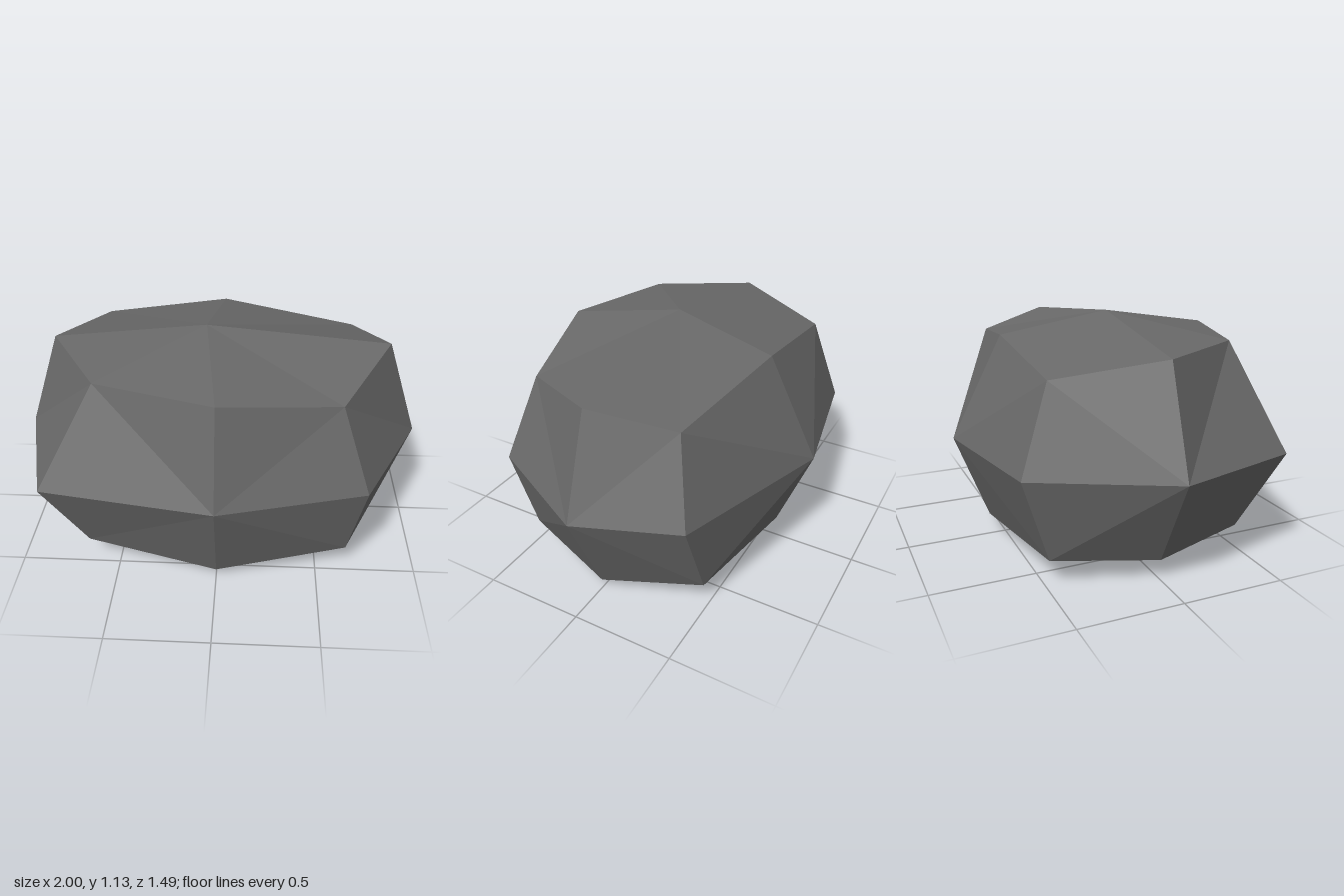
import * as THREE from 'three';

// Cross-sections of eight points [x, y, z], running right, front right, front, front left, left ...
const bottomRing = [
  [0.78, 0.05, 0], [0.645, 0.13, 0.48], [0, 0.05, 0.585], [-0.65, 0.13, 0.48],
  [-0.78, 0.1, 0], [-0.645, 0.13, -0.485], [0, 0.11, -0.58], [0.65, 0.13, -0.485],
];
const middleRing = [
  [1, 0.54, 0], [0.71, 0.54, 0.565], [0, 0.54, 0.745], [-0.83, 0.54, 0.615],
  [-1, 0.54, 0], [-0.69, 0.54, -0.62], [0, 0.54, -0.745], [0.81, 0.54, -0.475],
];
const topRing = [
  [0.83, 1.035, 0], [0.57, 0.95, 0.455], [0, 1.035, 0.62], [-0.56, 1.035, 0.45],
  [-0.83, 1.035, 0], [-0.64, 0.95, -0.48], [0, 1.035, -0.49], [0.68, 0.95, -0.38],
];
const bottomCentre = [0, 0, 0];
const topCentre = [-0.07, 1.135, 0.04];

function rockGeometry() {
  const positions = [];
  const tri = (a, b, c) => positions.push(...a, ...b, ...c);

  for (let i = 0; i < 8; i++) {
    const j = (i + 1) % 8;
    // caps
    tri(topCentre, topRing[j], topRing[i]);
    tri(bottomCentre, bottomRing[i], bottomRing[j]);
    // side bands, each quad split from the middle of a side to its corner
    for (const [lo, up, upper] of [[bottomRing, middleRing, false], [middleRing, topRing, true]]) {
      const risesToNext = (i % 2 === 0) === upper;
      if (risesToNext) {
        tri(lo[i], up[i], up[j]);
        tri(lo[i], up[j], lo[j]);
      } else {
        tri(lo[j], lo[i], up[i]);
        tri(lo[j], up[i], up[j]);
      }
    }
  }

  const geometry = new THREE.BufferGeometry();
  geometry.setAttribute('position', new THREE.Float32BufferAttribute(positions, 3));
  geometry.computeVertexNormals(); // unshared corners give flat facets
  return geometry;
}

export function createModel() {
  const group = new THREE.Group();
  group.name = 'rock';

  const stone = new THREE.MeshStandardMaterial({ color: 0x696969 });
  stone.name = 'grey stone';
  stone.flatShading = true;

  const boulder = new THREE.Mesh(rockGeometry(), stone);
  boulder.name = 'boulder';
  group.add(boulder);
  return group;
}
